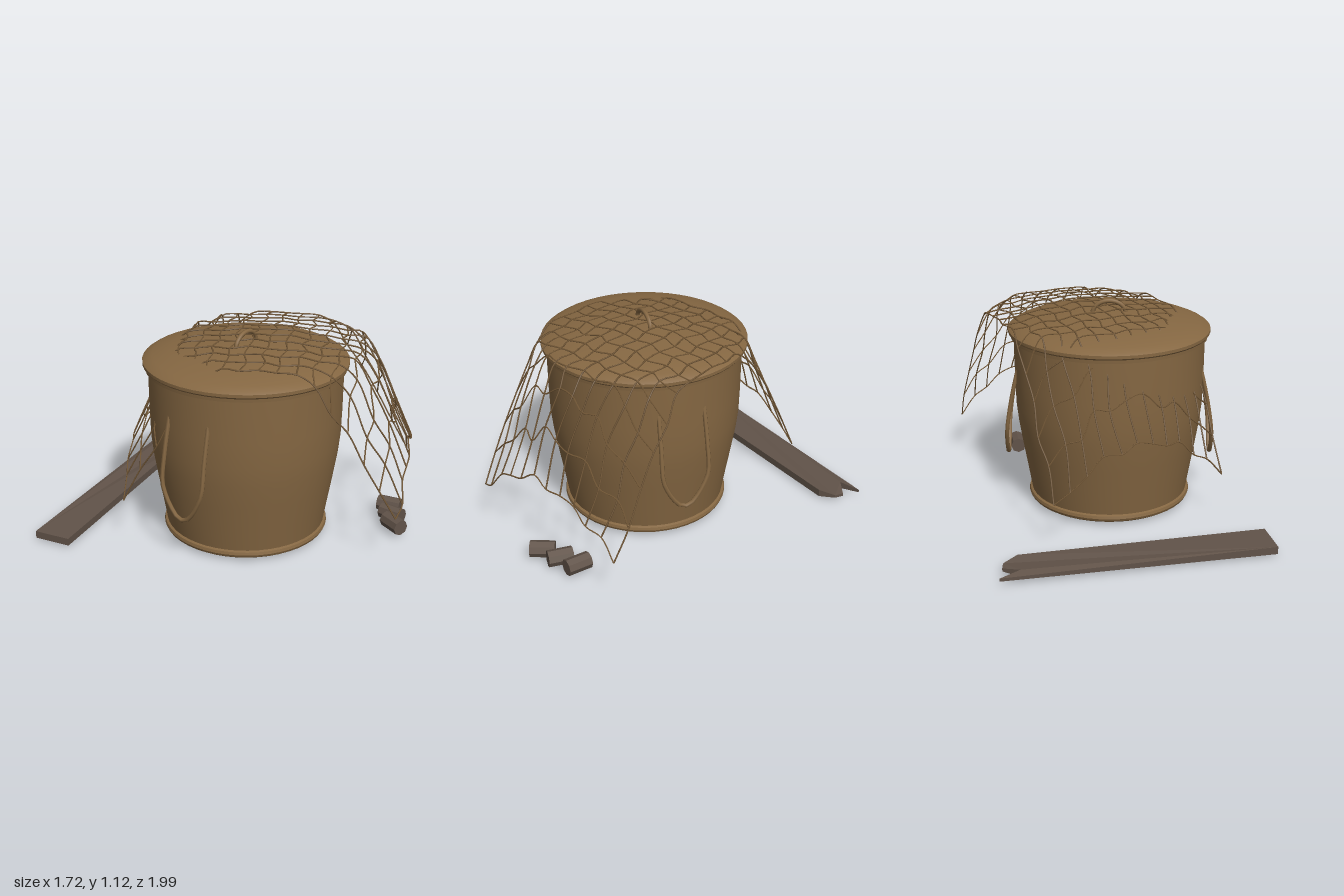
import * as THREE from 'three';
import { toCreasedNormals } from 'three/addons/utils/BufferGeometryUtils.js';

const bronze = new THREE.MeshStandardMaterial({ name: 'bronze', color: 0x856742 });
const wood = new THREE.MeshStandardMaterial({ name: 'greyWood', color: 0x615349 });
const rope = new THREE.MeshStandardMaterial({ name: 'rope', color: 0x765a38 });

const vec = (x, y, z) => new THREE.Vector3(x, y, z);

function add(parent, name, geometry, material) {
  const mesh = new THREE.Mesh(geometry, material);
  mesh.name = name;
  parent.add(mesh);
  return mesh;
}

function lathe(points) {
  const g = new THREE.LatheGeometry(points.map(([r, y]) => new THREE.Vector2(r, y)), 48);
  return toCreasedNormals(g, 0.5);
}

function tube(points, radius, steps, sides) {
  const curve = new THREE.CatmullRomCurve3(points, false, 'centripetal');
  return new THREE.TubeGeometry(curve, (points.length - 1) * steps, radius, sides);
}

// small seeded noise in -1..1
function makeNoise(seed) {
  return () => {
    seed = (seed * 16807) % 2147483647;
    return (seed / 2147483647) * 2 - 1;
  };
}

function makeBucket() {
  const bucket = new THREE.Group();
  bucket.name = 'bucket';
  bucket.position.set(-0.023, 0, 0.075);

  // tapering body with a foot ring and a rim
  add(bucket, 'body', lathe([
    [0, 0.004], [0.4, 0.01], [0.425, 0.016], [0.44, 0.026], [0.446, 0.04], [0.442, 0.055],
    [0.43, 0.06], [0.45, 0.18], [0.474, 0.32], [0.495, 0.45], [0.507, 0.56], [0.511, 0.7],
    [0.513, 0.925], [0.528, 0.93], [0.53, 0.955], [0, 0.955],
  ]), bronze);

  // domed lid
  add(bucket, 'lid', lathe([
    [0, 0.95], [0.535, 0.95], [0.541, 0.958], [0.541, 0.974], [0.525, 0.985],
    [0.49, 1.0], [0.4, 1.02], [0.28, 1.036], [0.14, 1.05], [0, 1.056],
  ]), bronze);

  // arched grip on the lid
  const arch = [];
  for (let i = 0; i <= 8; i++) {
    const a = (i / 8) * Math.PI;
    arch.push(vec(-0.09 * Math.cos(a), 1.04 + 0.07 * Math.sin(a), 0));
  }
  add(bucket, 'lidHandle', tube(arch, 0.012, 2, 8), bronze);

  // hanging loops on both sides
  const half = [[0.482, 0.79, 0.122], [0.502, 0.71, 0.124], [0.53, 0.58, 0.126], [0.553, 0.43, 0.125],
    [0.557, 0.36, 0.1], [0.557, 0.295, 0.062], [0.557, 0.26, 0.03]];
  for (const side of [1, -1]) {
    const loop = [
      ...half.map(([x, y, z]) => vec(side * x, y, z)),
      vec(side * 0.557, 0.25, 0),
      ...half.slice().reverse().map(([x, y, z]) => vec(side * x, y, -z)),
    ];
    add(bucket, side > 0 ? 'leftHandle' : 'rightHandle', tube(loop, 0.012, 2, 6), bronze);
  }
  return bucket;
}

// rectangular net, flat over a disc and falling steeply outside it
function makeNet() {
  const net = new THREE.Group();
  net.name = 'net';
  const across = 11, along = 16, R = 0.52;
  const noise = makeNoise(77);
  const node = (i, j) => {
    const s = (i / across) * 2 - 1, t = (j / along) * 2 - 1;
    const calm = Math.abs(s) === 1 || Math.abs(t) === 1 ? 0.6 : 1;
    const u = s * 0.475 + calm * (0.014 * Math.sin(j * 2.5 + i * 0.8) + 0.005 * noise());
    const v = t * (0.71 + 0.03 * (1 - s * s)) + calm * (0.014 * Math.sin(i * 2.5 + j * 0.7) + 0.005 * noise());
    const dx = 0.904 * u + 0.43 * v, dz = -0.43 * u + 0.904 * v;
    const r = Math.hypot(dx, dz);
    const y = r < R ? 1.09 - 0.055 * (r / R) ** 1.2 : 1.035 - (r - R) * 2.27;
    return vec(0.125 + dx, y, 0.148 + dz);
  };
  const nodes = Array.from({ length: across + 1 }, (_, i) =>
    Array.from({ length: along + 1 }, (_, j) => node(i, j)));
  for (const line of nodes) add(net, 'longCord', tube(line, 0.004, 4, 4), rope);
  for (let j = 0; j <= along; j++) {
    add(net, 'crossCord', tube(nodes.map((line) => line[j]), 0.004, 4, 4), rope);
  }
  return net;
}

export function createModel() {
  const model = new THREE.Group();
  model.name = 'nettedBucket';
  model.add(makeBucket(), makeNet());

  // broken plank lying behind, its splinters thinning to the tips
  const outline = [[-0.86, -0.71], [0.505, -1.0], [0.41, -0.935], [0.5, -0.9], [0.5, -0.85], [0.435, -0.785], [-0.82, -0.51]];
  const shape = new THREE.Shape(outline.map(([x, z]) => new THREE.Vector2(x, z)));
  const plank = new THREE.ExtrudeGeometry(shape, { depth: 0.04, bevelEnabled: false });
  plank.rotateX(Math.PI / 2);
  const p = plank.attributes.position;
  for (let i = 0; i < p.count; i++) {
    if (p.getX(i) > 0.47) p.setY(i, -0.02 + (p.getY(i) + 0.02) * 0.4);
  }
  plank.computeVertexNormals();
  add(model, 'plank', plank, wood).position.y = 0.055;

  // three short logs: x, z, turn
  const logGeometry = new THREE.CylinderGeometry(0.044, 0.044, 0.13, 8).rotateX(Math.PI / 2).toNonIndexed();
  logGeometry.computeVertexNormals();
  for (const [x, z, turn] of [[0.35, 0.798, -0.42], [0.446, 0.735, -0.08], [0.535, 0.672, 0.18]]) {
    const log = add(model, 'log', logGeometry, wood);
    log.position.set(x, 0.058, z);
    log.rotation.y = turn;
  }
  return model;
}
